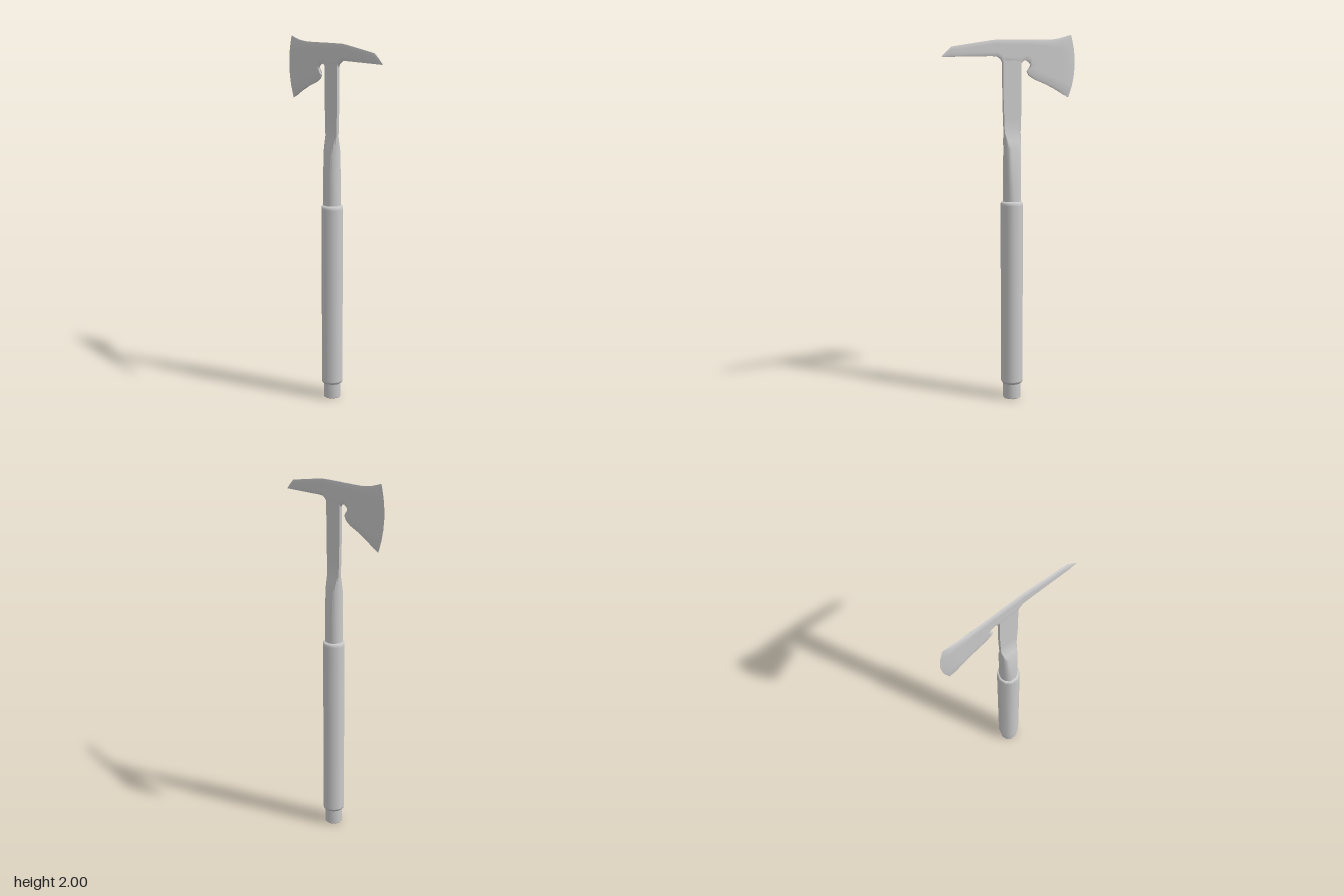
import * as THREE from 'three';
import { toCreasedNormals } from 'three/addons/utils/BufferGeometryUtils.js';

const AXIS_X = -0.01; // handle axis
const HALF = 0.008;   // half thickness of the steel plate

// Skin a list of closed rings (arrays of [x, y, z]); optional flat end caps.
function loft(rings, crease, capped = false) {
  const n = rings[0].length, index = [];
  for (let i = 0; i < rings.length - 1; i++) {
    for (let j = 0; j < n; j++) {
      const k = (j + 1) % n;
      const a = i * n + j, b = a + n, c = (i + 1) * n + k, d = i * n + k;
      index.push(a, b, c, a, c, d);
    }
  }
  if (capped) {
    const e = (rings.length - 1) * n;
    for (let j = 1; j < n - 1; j++) index.push(0, j, j + 1, e, e + j + 1, e + j);
  }
  const geo = new THREE.BufferGeometry();
  geo.setAttribute('position', new THREE.Float32BufferAttribute(rings.flat(2), 3));
  geo.setIndex(index);
  geo.computeVertexNormals();
  return toCreasedNormals(geo, crease);
}

// Axe blade, hooked notch and pick as one plate: columns running from blade to pick.
// Each column: bottom x, y, top x, y, half thickness, outward bulge of the blade edge
const COLUMNS = [
  [-0.365, 1.66, -0.38, 2.0, 0.0004, 0.033],
  [-0.335, 1.675, -0.34, 1.988, HALF, 0.028],
  [-0.285, 1.702, -0.30, 1.978, HALF, 0.015],
  [-0.22, 1.732, -0.265, 1.973, HALF, 0.006],
  [-0.15, 1.757, -0.255, 1.972, HALF, 0],
  [-0.115, 1.777, -0.245, 1.971, HALF, 0],
  [-0.103, 1.799, -0.23, 1.97, HALF, 0],
  [-0.12, 1.812, -0.195, 1.969, HALF, 0],
  [-0.126, 1.828, -0.165, 1.968, HALF, 0],
  [-0.12, 1.845, -0.135, 1.968, HALF, 0],
  [-0.098, 1.858, -0.1, 1.967, HALF, 0],
  [-0.08, 1.855, -0.08, 1.967, HALF, 0],
  [-0.068, 1.842, -0.068, 1.967, HALF, 0],
  [0.047, 1.845, 0.04, 1.965, HALF, 0],
  [0.056, 1.862, 0.055, 1.964, HALF, 0],
  [0.078, 1.876, 0.078, 1.964, HALF, 0],
  [0.11, 1.877, 0.11, 1.96, HALF, 0],
  [0.32, 1.871, 0.31, 1.928, HALF, 0],
  [0.35, 1.87, 0.342, 1.922, HALF, 0],
  [0.375, 1.869, 0.37, 1.899, 0.004, 0],
  [0.4, 1.868, 0.397, 1.874, 0.0004, 0],
];

function headRing([bx, by, tx, ty, half, bulge]) {
  const inset = Math.min(0.25, 0.012 / Math.hypot(tx - bx, ty - by));
  const front = [];
  for (let i = -1; i <= 7; i++) {
    const rim = i === -1 || i === 7;
    const v = rim ? (i < 0 ? 0 : 1) : inset + (1 - 2 * inset) * i / 6;
    front.push([
      bx + (tx - bx) * v - bulge * 4 * v * (1 - v),
      by + (ty - by) * v,
      half * (rim ? 0.5 : 1),
    ]);
  }
  const back = front.map(([x, y, z]) => [x, y, -z]).reverse();
  return [...front, ...back];
}

// Neck: a round bar pressed flat towards the head. Rows: y, left x, right x, half depth
const NECK = [
  [1.08, -0.06, 0.038, 0.047],
  [1.2, -0.06, 0.037, 0.043],
  [1.39, -0.06, 0.036, 0.034],
  [1.43, -0.061, 0.037, 0.022],
  [1.475, -0.063, 0.039, HALF],
  [1.55, -0.066, 0.042, HALF],
  [1.65, -0.069, 0.046, HALF],
  [1.86, -0.069, 0.047, HALF],
];

function neckRing([y, left, right, depth]) {
  const mid = (left + right) / 2, r = (right - left) / 2, ring = [];
  for (let j = 0; j < 20; j++) {
    const a = j / 20 * Math.PI * 2;
    ring.push([mid + r * Math.cos(a), y, THREE.MathUtils.clamp(r * Math.sin(a), -depth, depth)]);
  }
  return ring;
}

// Ten-sided turned part around the handle axis
function turned(profile) {
  const points = profile.map(([r, y]) => new THREE.Vector2(r, y));
  const geo = new THREE.LatheGeometry(points, 10, Math.PI / 2);
  geo.translate(AXIS_X, 0, 0);
  return geo;
}

export function createModel() {
  const group = new THREE.Group();
  const steel = new THREE.MeshStandardMaterial({ color: 0xcccccc });
  const add = (name, geometry) => {
    const mesh = new THREE.Mesh(geometry, steel);
    mesh.name = name;
    group.add(mesh);
  };

  add('axeHead', loft(COLUMNS.map(headRing), 0.9));
  add('neck', loft(NECK.map(neckRing), 0.7, true));
  add('grip', turned([
    [0, 0.085], [0.053, 0.085], [0.061, 0.097], [0.061, 0.1],
    [0.061, 1.08], [0.061, 1.09], [0.055, 1.103], [0, 1.103],
  ]));
  add('pommel', turned([[0, 0], [0.045, 0], [0.05, 0.006], [0.05, 0.09]]));

  return group;
}
